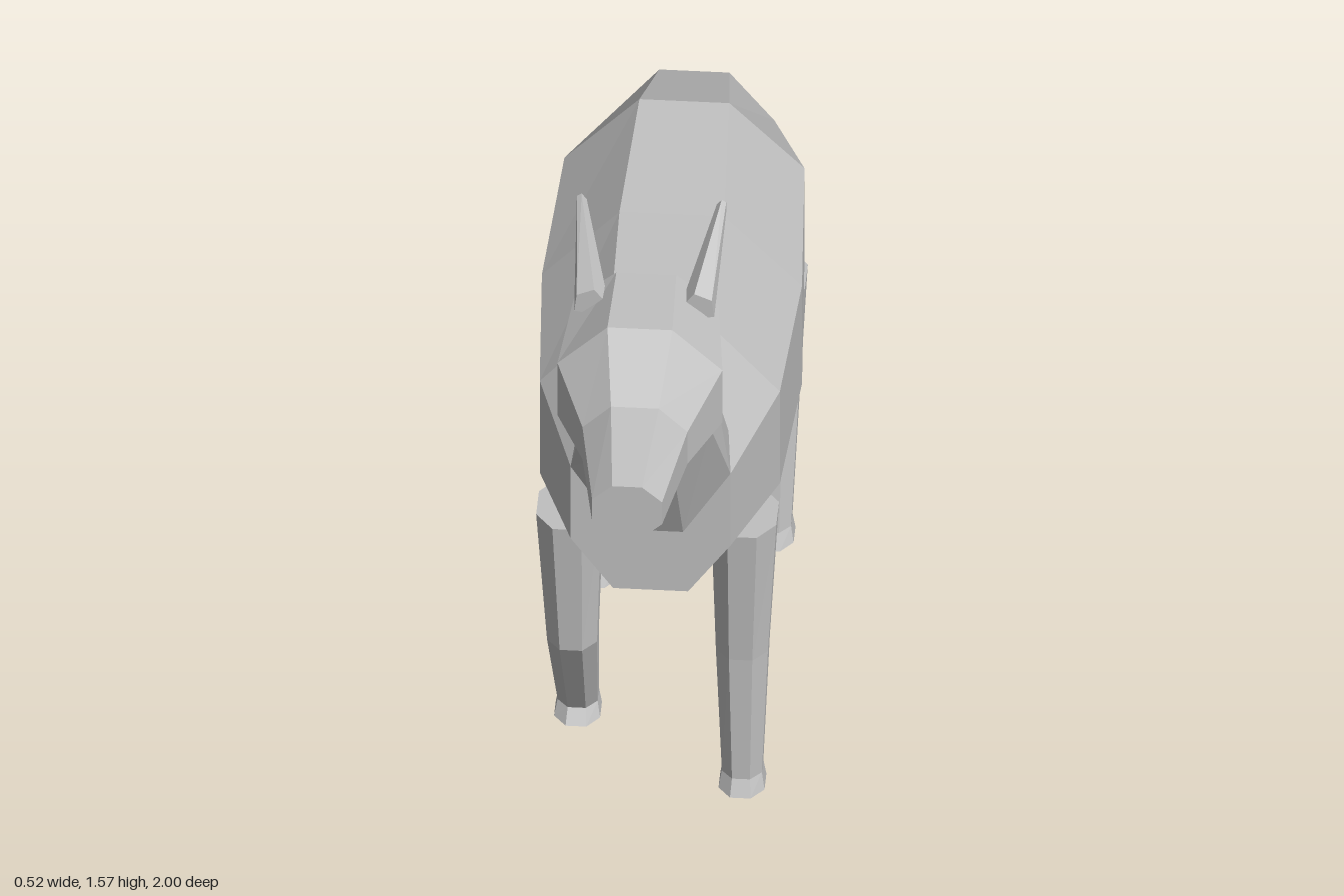
import * as THREE from 'three';

const coat = new THREE.MeshStandardMaterial({ color: 0xc0c0c0 });
coat.name = 'grey coat';

// Faceted skin over a list of equal-length rings, capped at both ends
function loft(name, rings) {
  const tris = [];
  const n = rings[0].length;
  const last = rings[rings.length - 1];
  for (let i = 0; i + 1 < rings.length; i++) {
    for (let j = 0; j < n; j++) {
      const k = (j + 1) % n;
      const a = rings[i][j], b = rings[i][k], c = rings[i + 1][k], d = rings[i + 1][j];
      tris.push([a, b, c], [a, c, d]);
    }
  }
  for (let j = 1; j + 1 < n; j++) {
    tris.push([rings[0][0], rings[0][j + 1], rings[0][j]]);
    tris.push([last[0], last[j], last[j + 1]]);
  }
  // Signed volume tells whether the winding faces outward
  let volume = 0;
  for (const [a, b, c] of tris) volume += a.dot(b.clone().cross(c));
  if (volume < 0) tris.forEach((t) => t.reverse());
  const geometry = new THREE.BufferGeometry().setFromPoints(tris.flat());
  geometry.computeVertexNormals();
  const mesh = new THREE.Mesh(geometry, coat);
  mesh.name = name;
  return mesh;
}

// Symmetric ring from its +x half, listed bottom to top
function mirrored(half) {
  const left = half.map(([x, y, z]) => new THREE.Vector3(x, y, z));
  const right = half.map(([x, y, z]) => new THREE.Vector3(-x, y, z)).reverse();
  return [...left, ...right];
}

// Upright octagon at z: heights of bottom, lower side, upper side and top edges
const section = ([z, bottom, low, high, top, wide, narrow]) => mirrored([
  [narrow, bottom, z], [wide, low, z], [wide, high, z], [narrow, top, z],
]);

// Level octagon for a leg
function legRing([x, y, z, rx, rz]) {
  const k = 0.45;
  return [[1, -k], [1, k], [k, 1], [-k, 1], [-1, k], [-1, -k], [-k, -1], [k, -1]]
    .map(([u, v]) => new THREE.Vector3(x + u * rx, y, z + v * rz));
}

export function createModel() {
  const goat = new THREE.Group();
  goat.name = 'goat';

  // Trunk, rump to chest
  goat.add(loft('body', [
    [-0.83, 0.625, 0.735, 0.89, 1.005, 0.16, 0.07],
    [-0.56, 0.605, 0.755, 0.98, 1.135, 0.24, 0.09],
    [-0.22, 0.535, 0.70, 0.945, 1.11, 0.26, 0.105],
    [0.11, 0.54, 0.70, 0.93, 1.09, 0.24, 0.10],
    [0.36, 0.61, 0.73, 0.91, 1.0, 0.16, 0.075],
  ].map(section)));

  // Neck, leaning forward
  goat.add(loft('neck', [
    [[0.065, 0.76, 0.362], [0.16, 0.91, 0.36], [0.15, 0.955, 0.28], [0.07, 1.085, 0.235]],
    [[0.052, 1.05, 0.50], [0.128, 1.11, 0.475], [0.13, 1.14, 0.385], [0.065, 1.22, 0.357]],
    [[0.065, 1.22, 0.58], [0.115, 1.28, 0.57], [0.115, 1.30, 0.49], [0.06, 1.355, 0.478]],
  ].map(mirrored)));

  // Head, back of skull to nose
  goat.add(loft('head', [
    [0.475, 1.225, 1.305, 1.42, 1.49, 0.145, 0.06],
    [0.65, 1.17, 1.26, 1.39, 1.485, 0.165, 0.065],
    [0.785, 1.2, 1.255, 1.335, 1.39, 0.105, 0.048],
    [1.0, 1.23, 1.265, 1.32, 1.355, 0.07, 0.03],
  ].map(section)));

  // Beard, a thin tapering blade
  goat.add(loft('beard', [[1.21, 0.03], [1.17, 0.024], [1.085, 0.007]].map(([y, w]) => [
    [w, 0.798], [w, 0.79], [-w, 0.79], [-w, 0.798],
  ].map(([x, z]) => new THREE.Vector3(x, y, z)))));

  // Tail
  goat.add(loft('tail', [
    [-0.80, 0.87, 0.90, 0.95, 0.985, 0.042, 0.02],
    [-0.91, 0.825, 0.85, 0.88, 0.905, 0.032, 0.015],
    [-1.0, 0.77, 0.78, 0.795, 0.805, 0.013, 0.007],
  ].map(section)));

  // Horns, swept back and outward
  for (const [side, s] of [['left', 1], ['right', -1]]) {
    goat.add(loft(side + 'Horn', [
      [[0.07, 1.45], [0.105, 1.43], [0.14, 1.435], [0.135, 1.475], [0.10, 1.49]]
        .map(([x, y]) => new THREE.Vector3(s * x, y, 0.535)),
      [[0.13, 1.56], [0.14, 1.552], [0.15, 1.553], [0.149, 1.567], [0.14, 1.573]]
        .map(([x, y]) => new THREE.Vector3(s * x, y, 0.33)),
    ]));
  }

  // Legs: x, y, z, half width, half depth from hip to hoof
  const legs = {
    leftFrontLeg: [
      [0.175, 0.67, 0.17, 0.065, 0.084], [0.17, 0.34, 0.163, 0.052, 0.062],
      [0.17, 0.035, 0.17, 0.04, 0.046], [0.17, 0, 0.175, 0.046, 0.058],
    ],
    rightFrontLeg: [
      [-0.175, 0.67, 0.17, 0.065, 0.084], [-0.17, 0.34, 0.158, 0.05, 0.06],
      [-0.17, 0.075, 0.012, 0.04, 0.046], [-0.17, 0.045, 0.022, 0.046, 0.058],
    ],
    leftHindLeg: [
      [0.175, 0.67, -0.61, 0.065, 0.088], [0.17, 0.355, -0.682, 0.052, 0.06],
      [0.17, 0.05, -0.622, 0.04, 0.046], [0.17, 0.018, -0.615, 0.046, 0.058],
    ],
    rightHindLeg: [
      [-0.175, 0.67, -0.60, 0.065, 0.088], [-0.17, 0.35, -0.545, 0.052, 0.06],
      [-0.17, 0.05, -0.478, 0.04, 0.046], [-0.17, 0.018, -0.47, 0.046, 0.058],
    ],
  };
  for (const [name, rings] of Object.entries(legs)) goat.add(loft(name, rings.map(legRing)));

  return goat;
}
